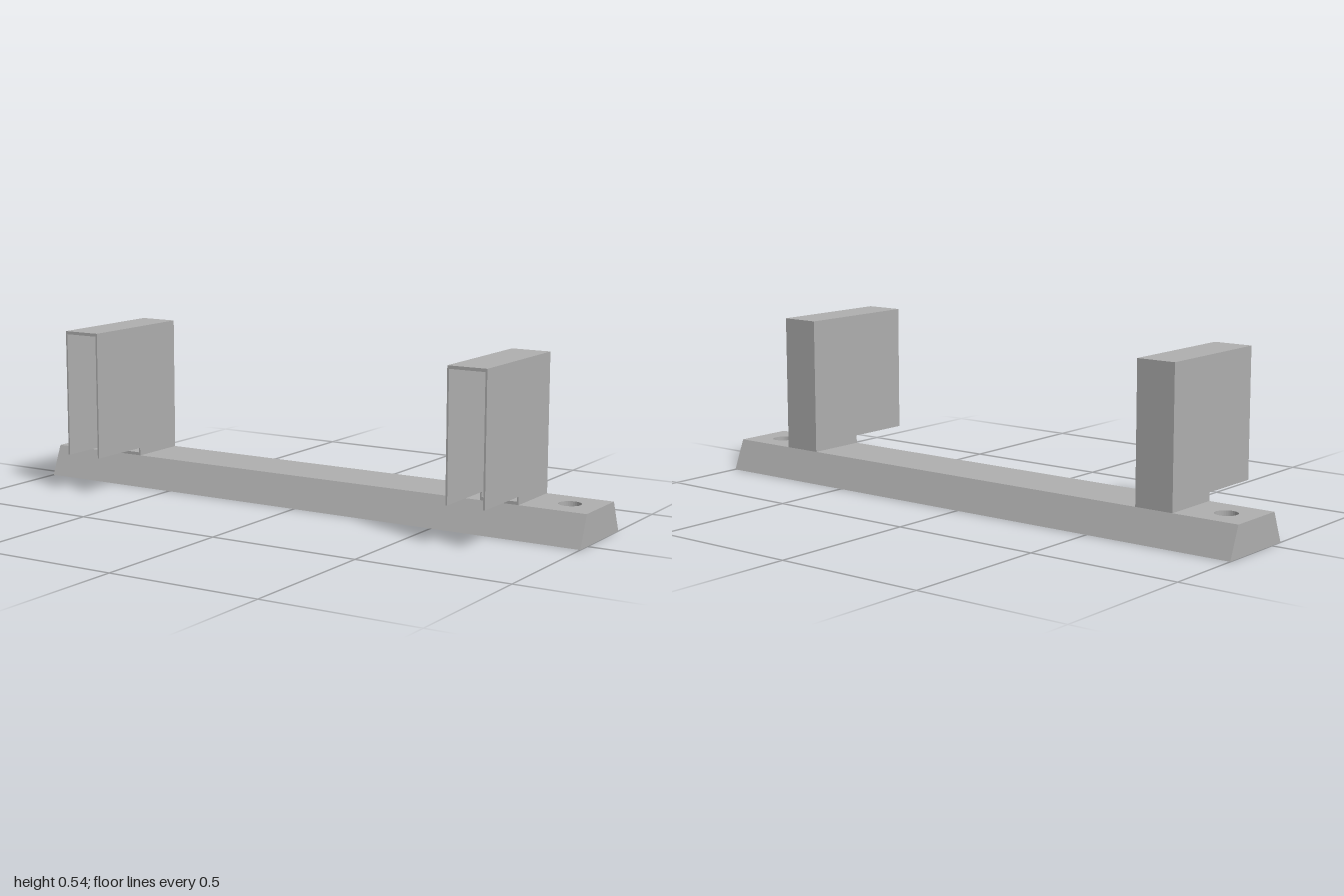
import * as THREE from 'three';

const BACK = -0.19, STEP = 0.01, FRONT = 0.232; // z of upright back, notch and open front
const BASE_TOP = 0.1, TOP = 0.542;
const HOLE_X = 0.9, HOLE_Z = -0.092, HOLE_R = 0.036;

export function createModel() {
  const group = new THREE.Group();
  group.name = 'bracket';
  const grey = new THREE.MeshStandardMaterial({ color: 0xb0b0b0 });
  grey.name = 'grey';

  const add = (parent, name, geometry, x = 0, y = 0, z = 0) => {
    const mesh = new THREE.Mesh(geometry, grey);
    mesh.name = name;
    mesh.position.set(x, y, z);
    parent.add(mesh);
  };

  // Base bar: a plate with two holes, its long edges flared towards the bottom
  const plate = new THREE.Shape([[-1, -STEP], [1, -STEP], [1, -BACK], [-1, -BACK]]
    .map(([x, y]) => new THREE.Vector2(x, y)));
  for (const side of [-1, 1]) {
    plate.holes.push(new THREE.Path().absarc(side * HOLE_X, -HOLE_Z, HOLE_R, 0, Math.PI * 2, true));
  }
  const base = new THREE.ExtrudeGeometry(plate, { depth: BASE_TOP, bevelEnabled: false, curveSegments: 16 });
  base.rotateX(-Math.PI / 2);
  const p = base.attributes.position;
  for (let i = 0; i < p.count; i++) {
    const z = p.getZ(i);
    if (p.getY(i) > 0.05 || Math.abs(p.getX(i)) < 0.99) continue;
    p.setZ(i, z + (z > -0.09 ? 0.04 : -0.04));
  }
  base.computeVertexNormals();
  add(group, 'base', base);

  // Side profile of an upright wall, notched in front of the base
  const profile = new THREE.Shape([
    [BACK, BASE_TOP], [STEP, BASE_TOP], [STEP, 0.126], [FRONT, 0.126], [FRONT, TOP], [BACK, TOP],
  ].map(([z, y]) => new THREE.Vector2(-z, y)));
  const wall = 0.006, lid = 0.01, width = 0.13, inner = width - 2 * wall;
  const side = new THREE.ExtrudeGeometry(profile, { depth: wall, bevelEnabled: false });
  side.rotateY(Math.PI / 2).translate(-wall / 2, 0, 0);

  for (const s of [-1, 1]) {
    const name = s > 0 ? 'left' : 'right';
    // Closed bottom of each screw hole
    add(group, name + 'HoleFloor', new THREE.CylinderGeometry(HOLE_R, HOLE_R, 0.01, 32), s * HOLE_X, 0.005, HOLE_Z);

    // Hollow upright, open at the front and under the overhang
    const upright = new THREE.Group();
    upright.name = name + 'Upright';
    upright.position.x = s * 0.713;
    group.add(upright);
    for (const w of [-1, 1]) add(upright, 'sideWall', side, w * (width - wall) / 2);
    add(upright, 'lid', new THREE.BoxGeometry(inner, lid, FRONT - BACK), 0, TOP - lid / 2, (FRONT + BACK) / 2);
    add(upright, 'backWall', new THREE.BoxGeometry(inner, TOP - BASE_TOP - lid, lid), 0, (TOP + BASE_TOP - lid) / 2, BACK + lid / 2);
    add(upright, 'floor', new THREE.BoxGeometry(inner, lid, STEP - BACK - lid), 0, BASE_TOP + lid / 2, (STEP + BACK + lid) / 2);
  }
  return group;
}
